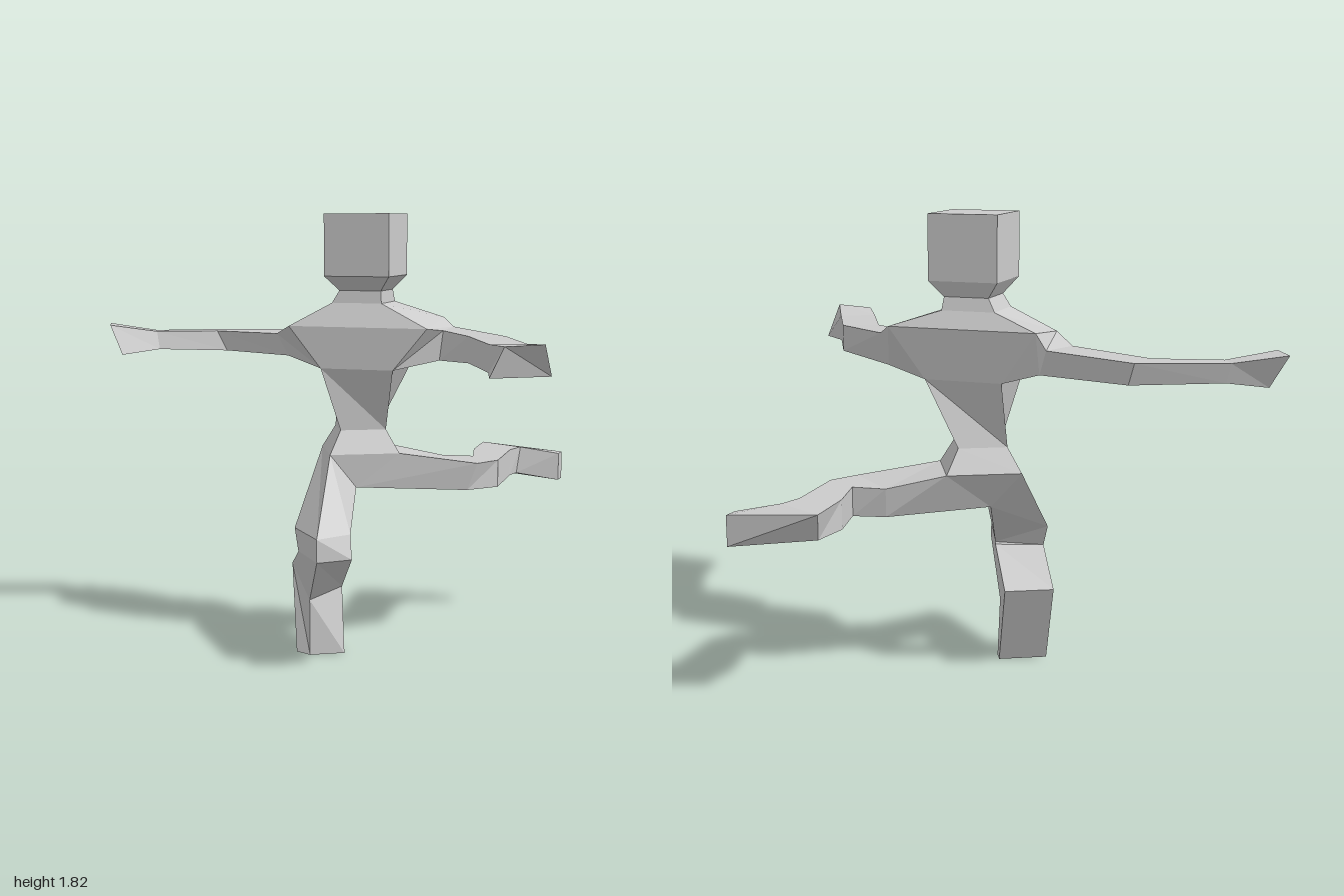
import * as THREE from 'three';

const material = new THREE.MeshStandardMaterial({ color: 0xcccccc, flatShading: true });

// Skins a row of four-cornered sections into a closed faceted solid
function loft(name, rings) {
  const tris = [];
  const r = rings.map(ring => ring.map(p => new THREE.Vector3(...p)));
  const quad = (a, b, c, d) => tris.push([a, b, c], [a, c, d]);
  for (let i = 0; i + 1 < r.length; i++) {
    for (let k = 0; k < 4; k++) {
      const n = (k + 1) % 4;
      quad(r[i][k], r[i][n], r[i + 1][n], r[i + 1][k]);
    }
  }
  const end = r[r.length - 1];
  quad(r[0][3], r[0][2], r[0][1], r[0][0]);
  quad(...end);

  // Turn the faces outward whichever way the sections run
  const cross = new THREE.Vector3();
  const volume = tris.reduce((sum, [a, b, c]) => sum + a.dot(cross.crossVectors(b, c)), 0);
  const pos = [];
  for (const [a, b, c] of tris) {
    if (new THREE.Triangle(a, b, c).getArea() < 1e-7) continue;
    for (const p of volume > 0 ? [a, b, c] : [a, c, b]) pos.push(p.x, p.y, p.z);
  }
  const geo = new THREE.BufferGeometry();
  geo.setAttribute('position', new THREE.Float32BufferAttribute(pos, 3));
  geo.computeVertexNormals();
  const mesh = new THREE.Mesh(geo, material);
  mesh.name = name;
  return mesh;
}

// Section of the turned upper body: front right, front left, back left, back right
function turned(cx, cz, half, front, back, yFront, yBack = yFront) {
  const at = (u, w, y) => [cx + 0.9 * u - 0.44 * w, y, cz + 0.44 * u + 0.9 * w];
  return [at(-half, front, yFront), at(half, front, yFront), at(half, -back, yBack), at(-half, -back, yBack)];
}

// Level section square to the axes, same corner order
const square = (x0, x1, zFront, zBack, y) =>
  [[x0, y, zFront], [x1, y, zFront], [x1, y, zBack], [x0, y, zBack]];

// Upright section of a limb between two plan points
const upright = ([xa, za], [xb, zb], top, bottom) =>
  [[xa, top, za], [xb, top, zb], [xb, bottom, zb], [xa, bottom, za]];

export function createModel() {
  const model = new THREE.Group();
  model.name = 'leapingFigure';

  // Head and neck
  const neckTop = turned(0.057, -0.205, 0.088, 0.088, 0.088, 1.51);
  const neckBase = turned(0.05, -0.218, 0.105, 0.105, 0.095, 1.46);
  const headAt = y => turned(0.0525, -0.1825, 0.136, 0.136, 0.136, y);
  model.add(loft('head', [headAt(1.82), headAt(1.57), neckTop]));
  model.add(loft('neck', [neckTop, neckBase]));

  // Torso twists from the turned shoulders to the straight waist
  const shoulders = turned(0.05, -0.18, 0.292, 0.122, 0.165, 1.365, 1.395);
  const underarms = turned(0.05, -0.18, 0.153, 0.127, 0.14, 1.195);
  const waist = square(-0.06, 0.13, -0.145, -0.305, 0.935);
  model.add(loft('torso', [neckBase, shoulders, underarms, waist]));

  // Pelvis narrows to a ridge between the legs
  const hips = square(-0.11, 0.18, -0.1, -0.35, 0.84);
  const crotchFront = [0, 0.7, -0.11], crotchBack = [0, 0.69, -0.27];
  model.add(loft('waist', [waist, hips]));
  model.add(loft('pelvis', [hips, [crotchFront, crotchFront, crotchBack, crotchBack]]));

  // Left arm reaches forward
  model.add(loft('leftArm', [
    [shoulders[1], shoulders[2], underarms[2], underarms[1]],
    [[0.335, 1.355, 0.015], [0.41, 1.36, -0.13], [0.38, 1.235, -0.13], [0.32, 1.235, 0.015]],
    upright([0.4, 0.19], [0.545, 0.2], 1.345, 1.24),
    upright([0.4, 0.51], [0.545, 0.51], 1.342, 1.237),
    [[0.41, 1.35, 0.7], [0.545, 1.36, 0.75], [0.6, 1.235, 0.65], [0.36, 1.235, 0.68]],
  ]));

  // Right arm stretches out to the side and back
  model.add(loft('rightArm', [
    [shoulders[0], shoulders[3], underarms[3], underarms[0]],
    [[-0.305, 1.325, -0.32], [-0.18, 1.33, -0.455], [-0.16, 1.235, -0.43], [-0.26, 1.235, -0.29]],
    [[-0.54, 1.318, -0.595], [-0.455, 1.318, -0.695], [-0.44, 1.235, -0.67], [-0.5, 1.235, -0.56]],
    [[-0.8, 1.315, -0.64], [-0.8, 1.315, -0.72], [-0.79, 1.24, -0.7], [-0.79, 1.24, -0.61]],
    [[-1, 1.345, -0.63], [-1, 1.345, -0.76], [-0.95, 1.22, -0.7], [-0.95, 1.22, -0.58]],
  ]));

  // Left leg is raised sideways with the shin swept back
  model.add(loft('leftLeg', [
    [hips[1], hips[2], crotchBack, crotchFront],
    [[0.51, 0.79, -0.095], [0.41, 0.79, -0.325], [0.41, 0.675, -0.31], [0.47, 0.675, -0.11]],
    upright([0.615, -0.16], [0.535, -0.28], 0.79, 0.675),
    upright([0.735, -0.415], [0.58, -0.455], 0.79, 0.675),
    [[0.8, 0.79, -0.48], [0.67, 0.79, -0.65], [0.67, 0.675, -0.58], [0.78, 0.675, -0.47]],
    upright([0.97, -0.455], [1, -0.505], 0.76, 0.64),
  ]));

  // Right leg carries the figure on a bent knee
  const ankle = [[-0.2, 0.235, -0.08], [-0.055, 0.27, -0.15], [-0.055, 0.345, -0.285], [-0.25, 0.345, -0.285]];
  model.add(loft('rightLeg', [
    [hips[0], crotchFront, crotchBack, hips[3]],
    [[-0.2, 0.55, 0.175], [-0.055, 0.55, 0.1], [-0.055, 0.465, -0.005], [-0.26, 0.545, -0.08]],
    [[-0.2, 0.455, 0.175], [-0.055, 0.455, 0.14], [-0.055, 0.455, -0.01], [-0.25, 0.455, -0.04]],
    ankle,
  ]));
  model.add(loft('rightFoot', [
    ankle,
    [[-0.2, 0, -0.075], [-0.055, 0, -0.08], [-0.055, 0, -0.13], [-0.25, 0, -0.13]],
  ]));

  return model;
}
